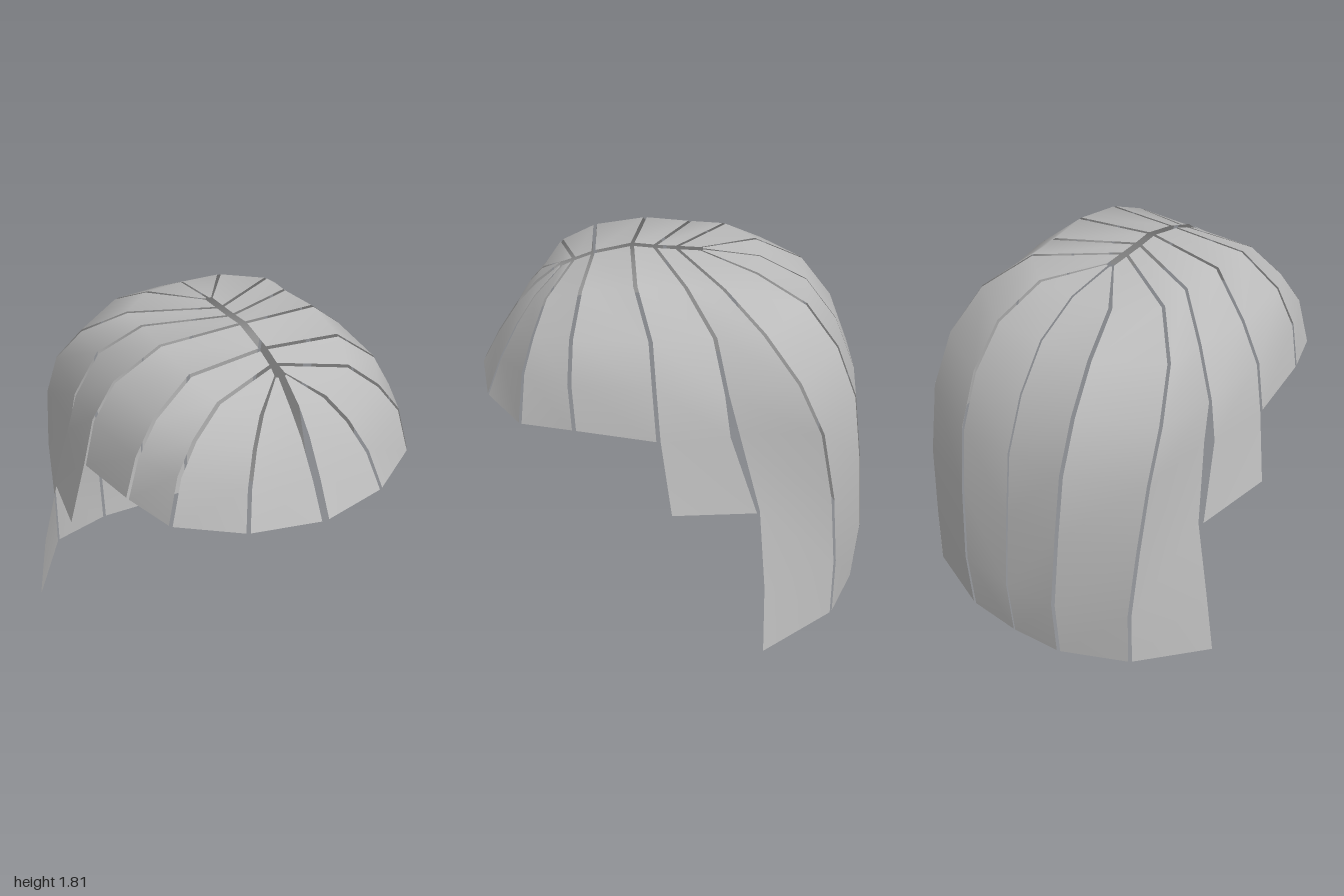
import * as THREE from 'three';

const hairGrey = new THREE.MeshStandardMaterial({ color: 0xbbbbbb, side: THREE.DoubleSide });
hairGrey.name = 'hairGrey';

// Seams of the left half, each running from the parting down to the hem: [x, y, z]
const frontCentre = [[0.015, 1.71, 0.58], [0.013, 1.61, 0.7], [0.012, 1.5, 0.8], [0.01, 1.33, 0.91], [0.009, 1.16, 1]];
const fringeSeam = [[0.03, 1.71, 0.57], [0.17, 1.61, 0.69], [0.25, 1.5, 0.77], [0.32, 1.35, 0.85], [0.365, 1.165, 0.92]];
const browSeam = [[0.02, 1.735, 0.51], [0.35, 1.685, 0.61], [0.5, 1.56, 0.66], [0.6, 1.42, 0.7], [0.66, 1.18, 0.72]];
const templeSeam = [[0.02, 1.775, 0.41], [0.4, 1.755, 0.435], [0.6, 1.6, 0.465], [0.7, 1.42, 0.47], [0.748, 1.2, 0.452]];
const earSeam = [[0.02, 1.82, 0.215], [0.42, 1.79, 0.175], [0.63, 1.61, 0.095], [0.74, 1.42, 0.075], [0.79, 1.17, 0.055]];
const lockFront = [...earSeam, [0.862, 0.802, 0]];
const behindEar = [[0.02, 1.81, 0.1], [0.4, 1.78, -0.06], [0.58, 1.61, -0.2], [0.69, 1.37, -0.26]];
const lockBack = [...behindEar, [0.735, 1.17, -0.29], [0.78, 0.77, -0.425]];
const sideFront = [...behindEar, [0.705, 1.18, -0.31], [0.765, 0.77, -0.42], [0.855, 0.37, -0.455], [0.91, 0.01, -0.46]];
const napeSeam = [[0.02, 1.805, -0.01], [0.4, 1.77, -0.24], [0.57, 1.625, -0.43], [0.65, 1.41, -0.6],
  [0.672, 1.15, -0.72], [0.665, 0.78, -0.79], [0.642, 0.38, -0.825], [0.645, 0.058, -0.825]];
const backSeam = [[0.02, 1.8, -0.13], [0.21, 1.768, -0.4], [0.275, 1.64, -0.64], [0.3, 1.425, -0.8],
  [0.305, 1.15, -0.905], [0.3, 0.8, -0.95], [0.288, 0.37, -0.985], [0.287, 0.02, -0.957]];
const backCentre = [[0.004, 1.8, -0.135], [-0.005, 1.767, -0.415], [-0.005, 1.645, -0.65], [-0.005, 1.43, -0.81],
  [-0.005, 1.15, -0.92], [-0.005, 0.8, -0.96], [-0.005, 0.35, -1], [-0.005, 0.005, -0.968]];

// Panel of hair between two seams, drawn in slightly so a slit stays open on either side
function panelGeometry(a, b, side) {
  const positions = [], index = [];
  a.forEach((p, i) => {
    const start = new THREE.Vector3(...p), end = new THREE.Vector3(...b[i]);
    const across = end.clone().sub(start);
    const inset = Math.min(0.01, across.length() * 0.15);
    across.setLength(inset);
    start.add(across);
    end.sub(across);
    positions.push(side * start.x, start.y, start.z, side * end.x, end.y, end.z);
    if (i === 0) return;
    const k = (i - 1) * 2;
    if (side > 0) index.push(k, k + 2, k + 3, k, k + 3, k + 1);
    else index.push(k, k + 3, k + 2, k, k + 1, k + 3);
  });
  const geometry = new THREE.BufferGeometry();
  geometry.setAttribute('position', new THREE.Float32BufferAttribute(positions, 3));
  geometry.setIndex(index);
  geometry.computeVertexNormals();
  return geometry;
}

export function createModel() {
  const hair = new THREE.Group();
  hair.name = 'hair';
  const panels = {
    fringePanel: [frontCentre, fringeSeam],
    browPanel: [fringeSeam, browSeam],
    templePanel: [browSeam, templeSeam],
    earPanel: [templeSeam, earSeam],
    sideLock: [lockFront, lockBack],
    sidePanel: [sideFront, napeSeam],
    napePanel: [napeSeam, backSeam],
    backPanel: [backSeam, backCentre],
  };
  // The two halves mirror each other about the parting
  for (const [label, side] of [['left', 1], ['right', -1]]) {
    const half = new THREE.Group();
    half.name = `${label}Half`;
    for (const [name, [a, b]] of Object.entries(panels)) {
      const panel = new THREE.Mesh(panelGeometry(a, b, side), hairGrey);
      panel.name = name;
      half.add(panel);
    }
    hair.add(half);
  }
  return hair;
}
